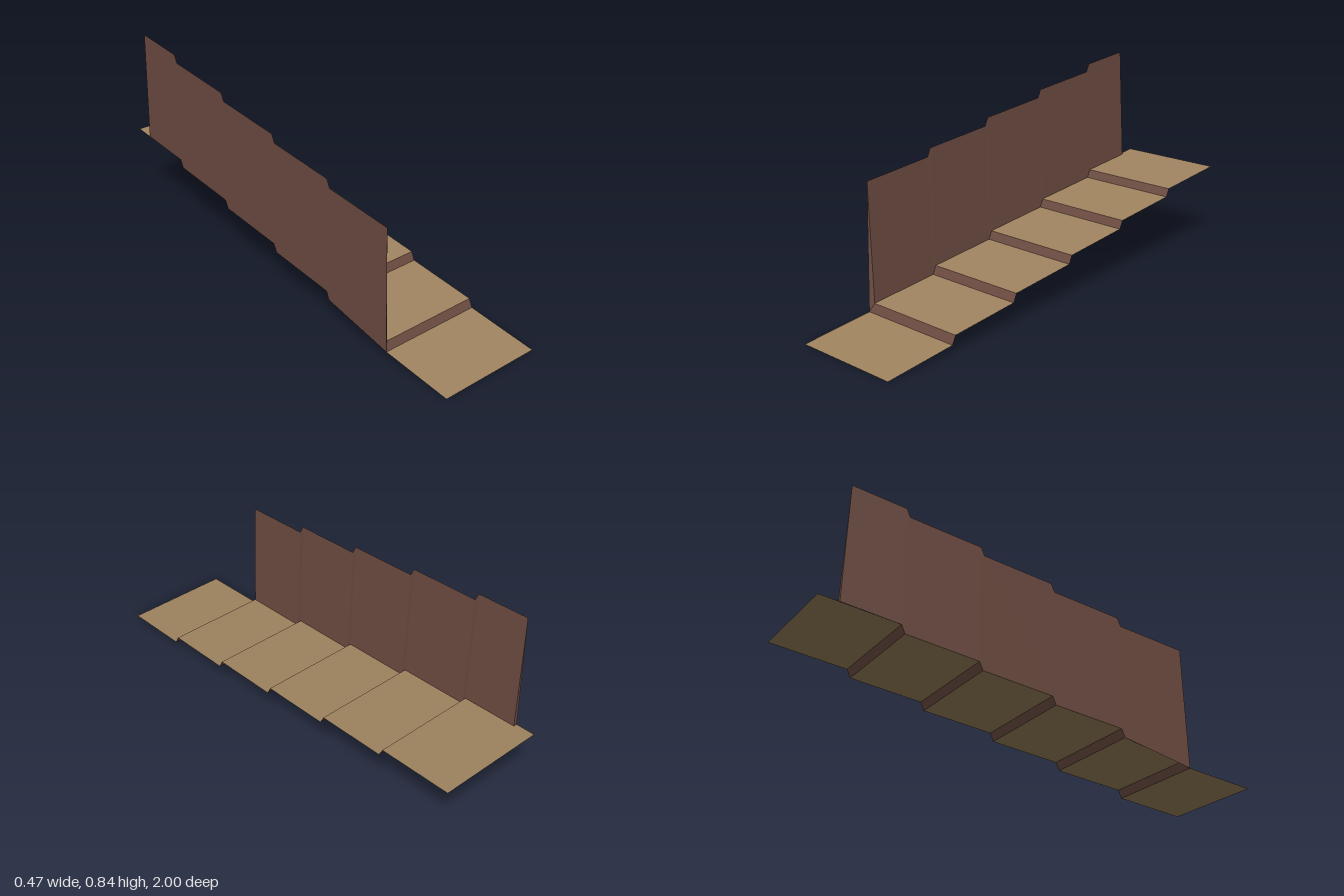
import * as THREE from 'three';

const HALF = 0.233;        // half width of the stair
const STEPS = 5;           // number of risers
const WALL_H = 0.498;      // wall height above the treads
const WALL_T = 0.016;      // wall thickness at its base, tapering to nothing

const treadMat = new THREE.MeshStandardMaterial({ color: 0xa08460, side: THREE.DoubleSide });
treadMat.name = 'tan';
const brownMat = new THREE.MeshStandardMaterial({ color: 0x6d4c41, side: THREE.DoubleSide });
brownMat.name = 'brown';

// Flat-shaded surface of quads stretched between two polylines of Vector3
function strip(name, a, b, material) {
  const pos = [];
  for (let i = 0; i + 1 < a.length; i++) {
    for (const p of [a[i], b[i], b[i + 1], a[i], b[i + 1], a[i + 1]]) pos.push(p.x, p.y, p.z);
  }
  const geo = new THREE.BufferGeometry();
  geo.setAttribute('position', new THREE.Float32BufferAttribute(pos, 3));
  geo.computeVertexNormals();
  const mesh = new THREE.Mesh(geo, material);
  mesh.name = name;
  return mesh;
}

// Places [z, y] profile points at a given x, raised by dy
const at = (points, x, dy = 0) => points.map(([z, y]) => new THREE.Vector3(x, y + dy, z));

export function createModel() {
  const group = new THREE.Group();
  group.name = 'staircase';

  // Side profile: sloped treads joined by short leaning risers
  const profile = [[1, 0]];
  for (let k = 0; k < STEPS; k++) {
    profile.push([0.682 - 0.333 * k, 0.03 + 0.0643 * k], [0.666 - 0.333 * k, 0.065 + 0.0641 * k]);
  }
  profile.push([-1, 0.352]);

  // Thin stair sheet, alternating treads and risers
  for (let i = 0; i + 1 < profile.length; i++) {
    const seg = [profile[i], profile[i + 1]];
    const isTread = i % 2 === 0;
    group.add(strip(isTread ? 'tread' : 'riser', at(seg, -HALF), at(seg, HALF), isTread ? treadMat : brownMat));
  }

  // Side wall following the steps, ending short of the last tread
  const wall = new THREE.Group();
  wall.name = 'sideWall';
  const middle = profile.slice(2, -1);
  const base = [...middle, [-0.914, 0.345]];
  const top = at([...middle, [-0.899, 0.344]], -HALF, WALL_H);
  const inner = at(base, -HALF + WALL_T);
  const outer = at(base, -HALF);
  outer[0].set(-HALF, profile[1][1], profile[1][0]);
  wall.add(strip('wallInnerFace', top, inner, brownMat));
  wall.add(strip('wallOuterFace', outer, top, brownMat));

  // Narrow tapering ends of the wall
  const last = top.length - 1;
  wall.add(strip('wallFrontEnd', [top[0], top[0]], [outer[0], inner[0]], brownMat));
  wall.add(strip('wallBackEnd', [top[last], top[last]], [inner[last], outer[last]], brownMat));
  group.add(wall);

  return group;
}
